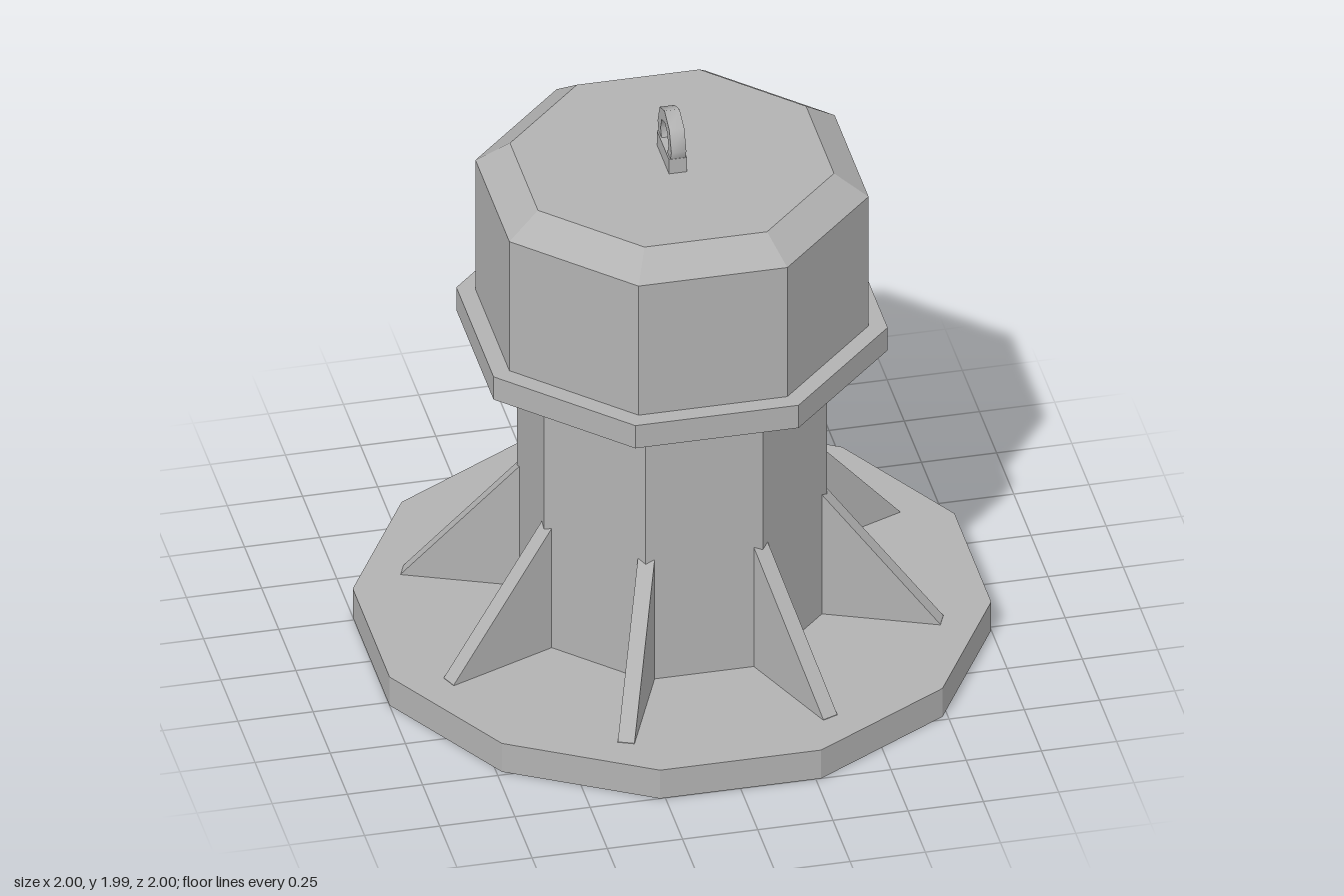
import * as THREE from 'three';
import { toCreasedNormals } from 'three/addons/utils/BufferGeometryUtils.js';

export function createModel() {
  const model = new THREE.Group();
  model.name = 'bollard';
  const grey = new THREE.MeshStandardMaterial({ color: 0xb2b2b2 });
  grey.name = 'grey metal';

  const add = (name, geometry, parent = model) => {
    const mesh = new THREE.Mesh(geometry, grey);
    mesh.name = name;
    parent.add(mesh);
    return mesh;
  };

  // Faceted turned solid; profile pairs are [flat-to-centre distance, height]
  const prism = (name, sides, profile) => {
    const k = 1 / Math.cos(Math.PI / sides);
    const points = profile.map(([r, y]) => new THREE.Vector2(r * k, y));
    const geo = new THREE.LatheGeometry(points, sides, Math.PI / sides);
    return add(name, toCreasedNormals(geo, 0.1));
  };

  // Twelve-sided foot plate
  prism('basePlate', 12, [[0, 0], [1, 0], [1, 0.11], [0, 0.11]]);

  // Octagonal column, flared collar and chamfered head
  prism('column', 8, [[0.47, 0.11], [0.47, 1.06], [0.597, 1.137]]);
  prism('collar', 8, [[0.597, 1.137], [0.655, 1.137], [0.655, 1.225], [0.597, 1.225]]);
  prism('head', 8, [[0.597, 1.225], [0.597, 1.725], [0.492, 1.803], [0, 1.803]]);

  // Triangular gussets on the column corners
  const gussets = new THREE.Group();
  gussets.name = 'gussets';
  model.add(gussets);
  const t = 0.055;
  const finShape = new THREE.Shape([
    new THREE.Vector2(0.48, 0.1),
    new THREE.Vector2(0.887, 0.1),
    new THREE.Vector2(0.887, 0.112),
    new THREE.Vector2(0.492, 0.578),
    new THREE.Vector2(0.48, 0.578),
  ]);
  const finGeo = new THREE.ExtrudeGeometry(finShape, { depth: t, bevelEnabled: false });
  finGeo.translate(0, 0, -t / 2);
  for (let i = 0; i < 8; i++) {
    add('gusset', finGeo, gussets).rotation.y = (i + 0.5) * Math.PI / 4;
  }

  // Lifting eye: an eight-sided ring standing in a small block
  const octagon = (r) => Array.from({ length: 8 }, (_, i) =>
    new THREE.Vector2(r * Math.cos(i * Math.PI / 4), r * Math.sin(i * Math.PI / 4)));
  const eyeShape = new THREE.Shape(octagon(0.1));
  eyeShape.holes.push(new THREE.Path(octagon(0.057)));
  const eyeGeo = new THREE.ExtrudeGeometry(eyeShape, { depth: 0.05, bevelEnabled: false });
  eyeGeo.translate(0, 0, -0.025);
  eyeGeo.rotateY(Math.PI / 2);
  add('liftingEye', toCreasedNormals(eyeGeo, Math.PI / 3)).position.y = 1.89;
  add('eyeBlock', new THREE.BoxGeometry(0.06, 0.06, 0.176)).position.y = 1.828;

  return model;
}
